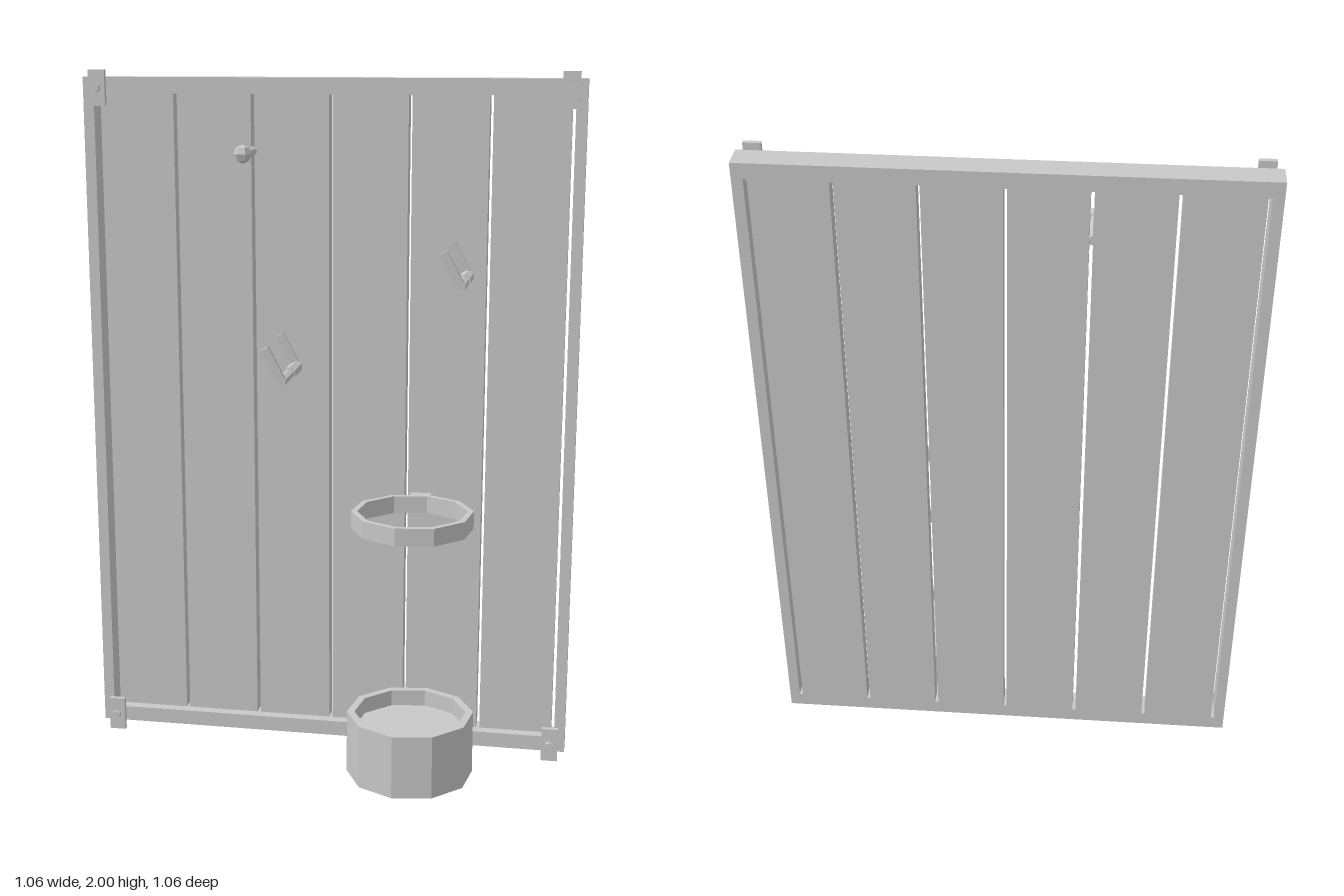
import * as THREE from 'three';

export function createModel() {
  const model = new THREE.Group();
  model.name = 'wallRack';
  const grey = new THREE.MeshStandardMaterial({ color: 0xc8c8c8, flatShading: true });
  grey.name = 'plain grey';

  // the wall stands diagonally: local x runs along it, local z points out of it
  const wall = new THREE.Group();
  wall.name = 'wall';
  wall.rotation.y = Math.PI / 4;
  model.add(wall);

  const add = (parent, name, geometry, x = 0, y = 0, z = 0) => {
    const mesh = new THREE.Mesh(geometry, grey);
    mesh.name = name;
    mesh.position.set(x, y, z);
    parent.add(mesh);
    return mesh;
  };
  const box = (name, x0, x1, y0, y1, z0, z1) =>
    add(wall, name, new THREE.BoxGeometry(x1 - x0, y1 - y0, z1 - z0),
      (x0 + x1) / 2, (y0 + y1) / 2, (z0 + z1) / 2);
  // six-sided rod between two points
  const rod = (parent, name, a, b, r) => {
    const from = new THREE.Vector3(...a), to = new THREE.Vector3(...b);
    const dir = to.clone().sub(from);
    const mesh = add(parent, name, new THREE.CylinderGeometry(r, r, dir.length(), 6));
    mesh.position.copy(from).add(to).multiplyScalar(0.5);
    mesh.quaternion.setFromUnitVectors(new THREE.Vector3(0, 1, 0), dir.normalize());
    return mesh;
  };

  // frame
  const W = 0.708, IN = 0.677, BACK = -0.041, FRONT = 0.036, FACE = 0.005;
  box('topRail', -W, W, 1.935, 1.98, BACK, FRONT);
  box('bottomRail', -W, W, 0.025, 0.07, BACK, FRONT);
  for (const s of [-1, 1]) {
    box('stile', Math.min(s * IN, s * W), Math.max(s * IN, s * W), 0.07, 1.935, BACK, FRONT);
  }

  // six recessed planks with narrow gaps
  const pitch = 0.224, gap = 0.01;
  for (let i = -3; i < 3; i++) {
    box('plank', i * pitch + gap / 2, (i + 1) * pitch - gap / 2, 0.07, 1.935, BACK, FACE);
  }

  // corner plates with bolts
  for (const x of [-0.664, 0.664]) {
    for (const y of [0.05, 1.95]) {
      box('cornerPlate', x - 0.024, x + 0.024, y - 0.05, y + 0.05, FRONT, 0.05);
      rod(wall, 'bolt', [x, y, 0.045], [x, y, 0.064], 0.013);
    }
  }

  // peg with a round head
  rod(wall, 'peg', [-0.226, 1.775, -0.005], [-0.226, 1.775, 0.12], 0.014);
  add(wall, 'pegHead', new THREE.SphereGeometry(0.026, 6, 4), -0.226, 1.775, 0.125);

  // two hooks, each an arm with a slanted prong at both ends
  for (const [x, y] of [[-0.1, 1.16], [0.392, 1.437]]) {
    const hook = new THREE.Group();
    hook.name = 'hook';
    hook.position.set(x, y, 0);
    wall.add(hook);
    rod(hook, 'hookSleeve', [0, 0, 0], [0, 0, 0.11], 0.018);
    rod(hook, 'hookArm', [0, 0, 0.1], [0, 0, 0.236], 0.014);
    for (const z of [0.007, 0.225]) {
      rod(hook, 'hookProng', [0.003, -0.005, z], [-0.048, 0.092, z], 0.014);
    }
  }

  // ten-sided holder ring and bucket, turned from closed profiles
  const turned = (name, points) => add(model, name,
    new THREE.LatheGeometry(points.map(p => new THREE.Vector2(...p)), 10), 0.338, 0, -0.04);
  turned('holderRing', [[0.155, 0.75], [0.172, 0.75], [0.172, 0.8], [0.155, 0.8], [0.155, 0.75]]);
  turned('bucket', [[0, 0.012], [0.182, 0.012], [0.182, 0.197], [0.16, 0.197], [0.16, 0.15], [0, 0.15]]);
  box('ringMount', 0.237, 0.297, 0.755, 0.795, 0, 0.05);

  return model;
}
